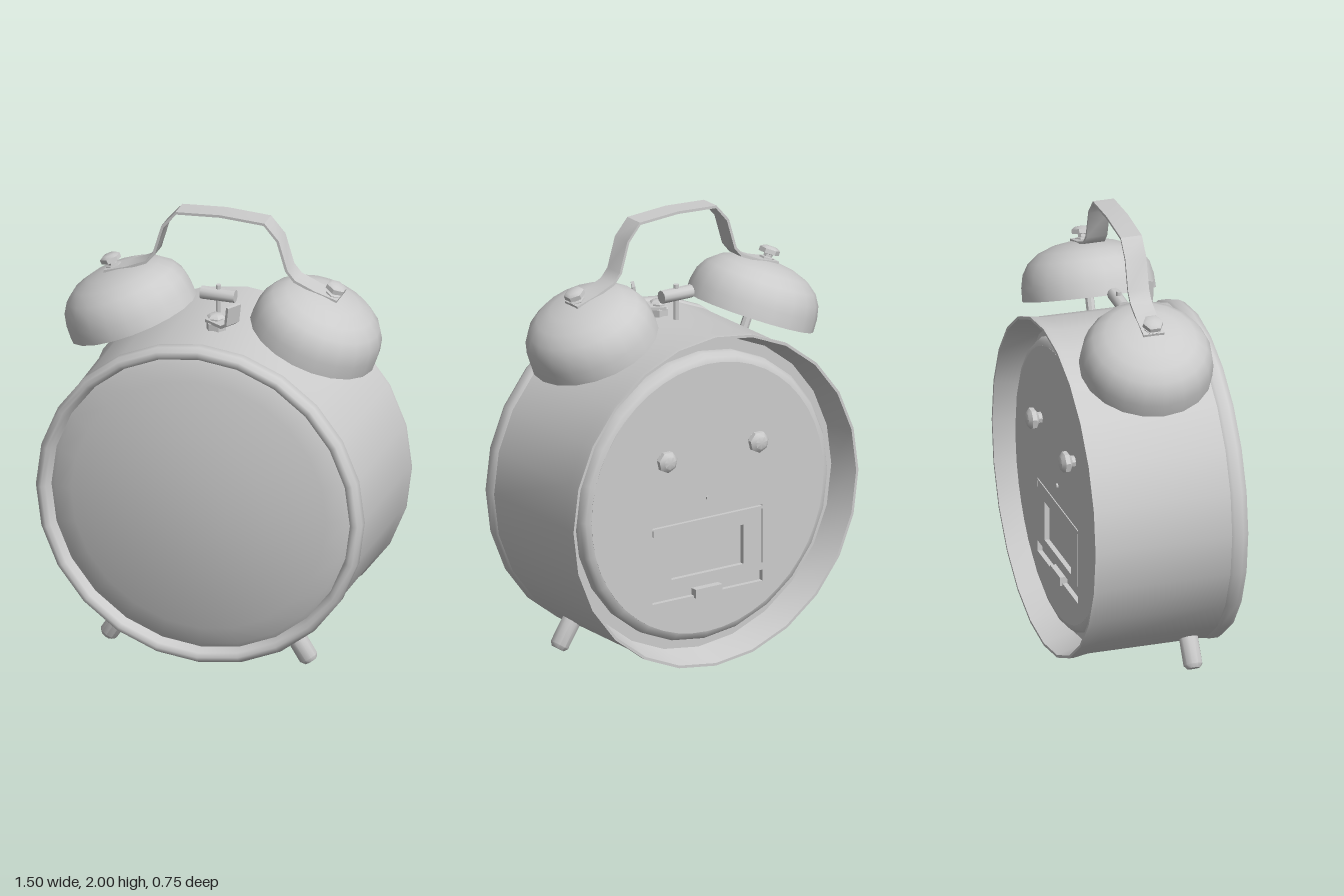
import * as THREE from 'three';
import { toCreasedNormals } from 'three/addons/utils/BufferGeometryUtils.js';

const CY = 0.755;      // height of the clock's axis
const SIDES = 24;
const BELL_Z = -0.04;  // plane of bells, handle and hammer
const grey = new THREE.MeshStandardMaterial({ color: 0xcccccc, side: THREE.DoubleSide });

function part(name, geometry, parent, x = 0, y = 0, z = 0, crease = 0.7) {
  const mesh = new THREE.Mesh(toCreasedNormals(geometry, crease), grey);
  mesh.name = name;
  mesh.position.set(x, y, z);
  parent.add(mesh);
  return mesh;
}

const lathe = (profile, sides) =>
  new THREE.LatheGeometry(profile.map(([r, h]) => new THREE.Vector2(r, h)), sides);

// Lathe turned so that its axis runs along z
const latheZ = (profile, sides = SIDES) => lathe(profile, sides).rotateX(Math.PI / 2);

// Rectangular hole centred on (x, y)
function rectHole(x, y, w, h) {
  const p = new THREE.Path();
  p.moveTo(x - w / 2, y - h / 2);
  p.lineTo(x - w / 2, y + h / 2);
  p.lineTo(x + w / 2, y + h / 2);
  p.lineTo(x + w / 2, y - h / 2);
  p.closePath();
  return p;
}

// Flat strip of even thickness following a path in the xy plane
function ribbon(path, thickness, width) {
  const pts = path.map(([x, y]) => new THREE.Vector2(x, y));
  const offset = (side) => pts.map((p, i) => {
    const a = pts[Math.max(i - 1, 0)], b = pts[Math.min(i + 1, pts.length - 1)];
    const d = b.clone().sub(a).normalize();
    return new THREE.Vector2(p.x - d.y * side * thickness / 2, p.y + d.x * side * thickness / 2);
  });
  const shape = new THREE.Shape([...offset(1), ...offset(-1).reverse()]);
  return new THREE.ExtrudeGeometry(shape, { depth: width, bevelEnabled: false })
    .translate(0, 0, -width / 2);
}

function addCase(root) {
  // Drum with flared, hollow back
  part('caseBody', latheZ([
    [0, -0.24], [0.7, -0.24], [0.738, -0.374], [0.75, -0.374], [0.75, -0.355],
    [0.739, -0.29], [0.735, 0.25]]), root, 0, CY);
  part('frontBezel', latheZ([
    [0.733, 0.25], [0.742, 0.262], [0.742, 0.3], [0.728, 0.325], [0.71, 0.33],
    [0.692, 0.318], [0.68, 0.27]]), root, 0, CY, 0, 0.9);
  part('frontGlass', latheZ([
    [0.69, 0.265], [0.66, 0.284], [0.58, 0.305], [0.49, 0.325], [0.33, 0.355],
    [0.15, 0.373], [0, 0.376]]), root, 0, CY);
}

function addBack(root) {
  const back = new THREE.Group();
  back.name = 'backPanel';
  back.position.y = CY;
  root.add(back);
  part('panelEdge', latheZ([[0.61, -0.31], [0.635, -0.303], [0.65, -0.28], [0.65, -0.24]]),
    back, 0, 0, 0, 0.9);

  // Plate with battery door seams, finger recess and clip slot
  const plate = new THREE.Shape().absarc(0, 0, 0.61, 0, Math.PI * 2);
  plate.holes.push(
    rectHole(0, -0.09, 0.58, 0.007),
    rectHole(0.287, -0.115, 0.007, 0.03),
    rectHole(-0.287, -0.23, 0.007, 0.25),
    rectHole(0, -0.25, 0.38, 0.18),
    rectHole(0, -0.41, 0.58, 0.05));
  part('panelPlate', new THREE.ExtrudeGeometry(plate,
    { depth: 0.025, bevelEnabled: false, curveSegments: SIDES }), back, 0, 0, -0.31);
  part('panelFloor', latheZ([[0, -0.288], [0.62, -0.288]]), back);
  part('batteryTab', new THREE.BoxGeometry(0.14, 0.04, 0.035), back, 0, -0.425, -0.305);
  part('settingPin', latheZ([[0, -0.32], [0.01, -0.318], [0.01, -0.3]], 6), back);

  // Winding knobs
  for (const s of [-1, 1]) {
    part('windingKnob', latheZ([
      [0, -0.377], [0.03, -0.375], [0.048, -0.36], [0.048, -0.34], [0.025, -0.325],
      [0.025, -0.3]], 7), back, s * 0.24, 0.22);
  }
}

function addBell(root, s) {
  const bell = new THREE.Group();
  bell.name = s > 0 ? 'leftBell' : 'rightBell';
  bell.position.set(s * 0.407, 1.45, BELL_Z);
  bell.rotation.z = -s * 0.391;
  root.add(bell);
  part('bellDome', lathe([
    [0.275, 0], [0.291, 0], [0.289, 0.06], [0.277, 0.115], [0.25, 0.16], [0.2, 0.2],
    [0.13, 0.226], [0.06, 0.237], [0, 0.24]], 20), bell);
  part('bellInside', lathe([[0.275, 0], [0.27, 0.07], [0.235, 0.15], [0.13, 0.21], [0, 0.225]], 20), bell);
  part('bellPost', new THREE.CylinderGeometry(0.02, 0.02, 0.36, 8), bell, 0, 0.07);
  part('bellScrew', lathe([
    [0, 0.23], [0.035, 0.23], [0.035, 0.25], [0.02, 0.253], [0.02, 0.265], [0.046, 0.268],
    [0.046, 0.288], [0.03, 0.298], [0, 0.3]], 6), bell);
}

function addHandle(root) {
  const half = [[0.2, 1.982], [0.262, 1.91], [0.302, 1.775], [0.338, 1.732], [0.43, 1.692], [0.53, 1.662]];
  const left = half.map(([x, y]) => [-x, y]).reverse();
  part('handle', ribbon([...left, [0, 1.994], ...half], 0.012, 0.095), root, 0, 0, BELL_Z, 0.5);
}

function addHammer(root) {
  const hammer = new THREE.Group();
  hammer.name = 'hammer';
  hammer.position.set(-0.022, 1.605, BELL_Z);
  root.add(hammer);
  part('hammerHead', new THREE.CylinderGeometry(0.029, 0.029, 0.155, 10).rotateZ(Math.PI / 2), hammer);
  part('hammerStem', new THREE.CylinderGeometry(0.012, 0.012, 0.2, 8), hammer, 0, -0.055);
}

function addSwitch(root) {
  // Pivot button with a bent lever turned towards the front
  const lever = new THREE.Group();
  lever.name = 'alarmSwitch';
  lever.position.set(0, 1.5, 0.06);
  lever.rotation.y = -0.52;
  root.add(lever);
  part('switchPivot', lathe([
    [0.045, -0.03], [0.045, 0.02], [0.03, 0.025], [0.03, 0.04], [0.042, 0.044], [0.03, 0.055],
    [0, 0.058]], 6), lever);
  part('switchLever', ribbon([[-0.03, 0.026], [0.07, 0.026], [0.1, 0.045], [0.112, 0.13]], 0.014, 0.075),
    lever, 0, 0, 0, 0.5);
}

function addFoot(root, s) {
  const foot = part(s > 0 ? 'leftFoot' : 'rightFoot', lathe([
    [0, -0.865], [0.03, -0.865], [0.043, -0.848], [0.043, -0.7]], 10), root, 0, CY, 0.16);
  foot.rotation.z = s * 0.564;
}

export function createModel() {
  const root = new THREE.Group();
  root.name = 'alarmClock';
  addCase(root);
  addBack(root);
  for (const s of [-1, 1]) {
    addBell(root, s);
    addFoot(root, s);
  }
  addHandle(root);
  addHammer(root);
  addSwitch(root);
  return root;
}
